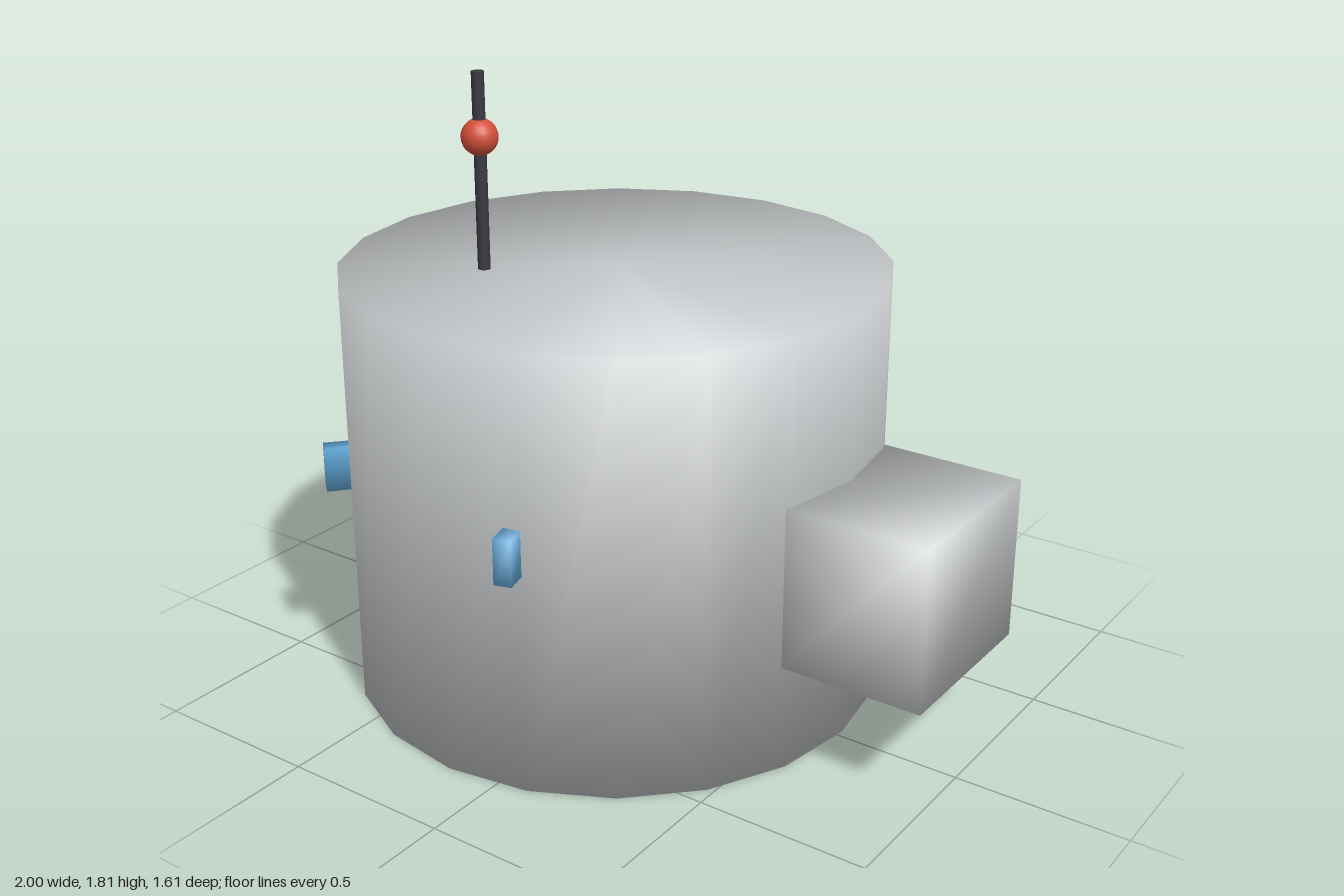
import * as THREE from 'three';

// Shared soft normals: each vertex normal points outward through its rim or corner
function soften(geometry) {
  geometry.computeBoundingBox();
  const half = geometry.boundingBox.getSize(new THREE.Vector3()).multiplyScalar(0.5);
  const p = geometry.attributes.position;
  const n = new THREE.Vector3();
  for (let i = 0; i < p.count; i++) {
    n.fromBufferAttribute(p, i).divide(half).normalize();
    geometry.attributes.normal.setXYZ(i, n.x, n.y, n.z);
  }
  return geometry;
}

function addPart(group, name, geometry, material, x, y, z) {
  const mesh = new THREE.Mesh(geometry, material);
  mesh.name = name;
  mesh.position.set(x, y, z);
  group.add(mesh);
  return mesh;
}

export function createModel() {
  const model = new THREE.Group();
  const mat = (name, color) => {
    const m = new THREE.MeshStandardMaterial({ color });
    m.name = name;
    return m;
  };
  const grey = mat('light grey', 0xc4c7c9);
  const blue = mat('blue', 0x62a8d8);
  const red = mat('red', 0xd3503a);
  const dark = mat('dark grey', 0x3a3a42);

  const cx = -0.155, cz = -0.02, height = 1.255;

  // Drum body and the block on its side
  addPart(model, 'body', soften(new THREE.CylinderGeometry(0.785, 0.785, height, 20)), grey, cx, height / 2, cz);
  addPart(model, 'sideBlock', soften(new THREE.BoxGeometry(0.42, 0.47, 0.525)), grey, 0.79, 0.55, -0.022);

  // Small windows spaced one radian apart around the drum
  const windowGeometry = soften(new THREE.BoxGeometry(0.1, 0.13, 0.05));
  for (let i = 0; i < 5; i++) {
    const a = 1.285 + i;
    const pane = addPart(model, 'window' + (i + 1), windowGeometry, blue,
      cx + Math.cos(a) * 0.798, 0.71, cz + Math.sin(a) * 0.798);
    pane.rotation.y = -a;
  }

  // Antenna with a ball near its tip
  addPart(model, 'antenna', new THREE.CylinderGeometry(0.018, 0.018, 0.57, 12), dark, -0.418, 1.525, 0.242);
  addPart(model, 'antennaBall', new THREE.SphereGeometry(0.052, 20, 14), red, -0.418, 1.63, 0.242);

  return model;
}
